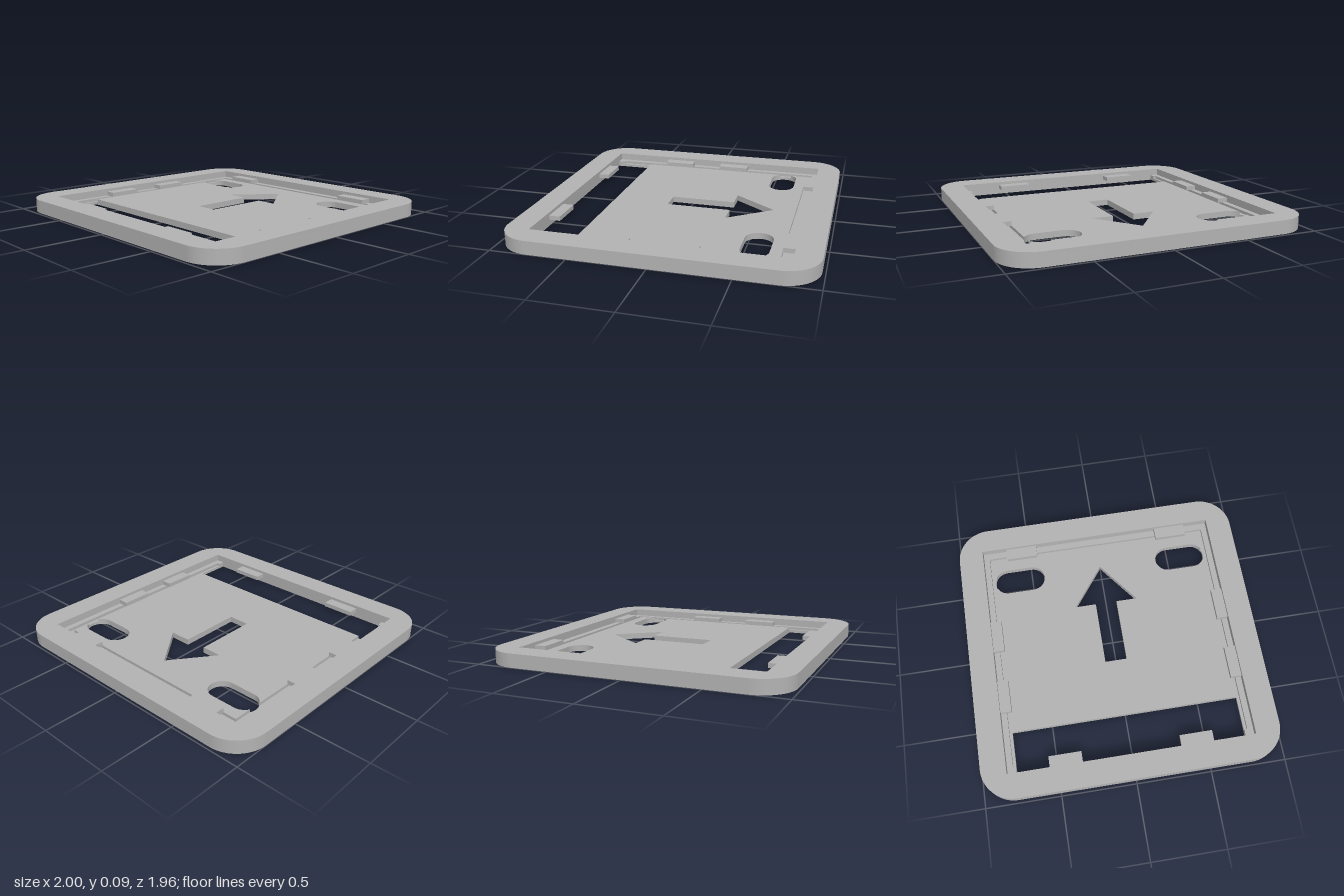
import * as THREE from 'three';
import { toCreasedNormals } from 'three/addons/utils/BufferGeometryUtils.js';

const grey = new THREE.MeshStandardMaterial({ color: 0xb3b3b3 });
grey.name = 'grey plastic';

// Heights of the levels
const GROOVE = 0.02, FLOOR = 0.04, TOP = 0.09;

const toPoints = (list) => list.map(([x, z]) => new THREE.Vector2(x, z));
const rect = (x, z0, z1) => toPoints([[-x, z0], [x, z0], [x, z1], [-x, z1]]);

// Slab with a plan drawn in x and z, standing between two heights
function slab(name, outline, holes, y0, y1) {
  const shape = new THREE.Shape(outline);
  for (const h of holes) shape.holes.push(new THREE.Path(h));
  const geo = new THREE.ExtrudeGeometry(shape, { depth: y1 - y0, bevelEnabled: false });
  geo.rotateX(Math.PI / 2).translate(0, y1, 0);
  const mesh = new THREE.Mesh(toCreasedNormals(geo, 0.5), grey);
  mesh.name = name;
  return mesh;
}

// Rounded outer outline
function outerOutline() {
  const x = 1, z = 0.98, r = 0.22, s = new THREE.Shape();
  s.absarc(x - r, z - r, r, 0, Math.PI / 2);
  s.absarc(r - x, z - r, r, Math.PI / 2, Math.PI);
  s.absarc(r - x, r - z, r, Math.PI, Math.PI * 1.5);
  s.absarc(x - r, r - z, r, Math.PI * 1.5, Math.PI * 2);
  return s.getPoints(14);
}

// Oblong screw hole on one side, as a closed loop
const OVAL = { x0: 0.5, x1: 0.675, z: -0.57, r: 0.09 };
function ovalHole(side) {
  const p = new THREE.Path();
  p.absarc(OVAL.x1, OVAL.z, OVAL.r, -Math.PI / 2, Math.PI / 2);
  p.absarc(OVAL.x0, OVAL.z, OVAL.r, Math.PI / 2, Math.PI * 1.5);
  return p.getPoints(14).map((v) => new THREE.Vector2(v.x * side, v.y));
}

// Raised floor outline, opened on both sides where the oblong holes cut its edge
function floorOutline() {
  const x = 0.755, z0 = -0.735, z1 = 0.535;
  const a = Math.acos((x - OVAL.x1) / OVAL.r);
  const notch = new THREE.Path();
  notch.absarc(OVAL.x1, OVAL.z, OVAL.r, -a, -Math.PI / 2, true);
  notch.absarc(OVAL.x0, OVAL.z, OVAL.r, -Math.PI / 2, -Math.PI * 1.5, true);
  notch.absarc(OVAL.x1, OVAL.z, OVAL.r, Math.PI / 2, a, true);
  const right = [...toPoints([[x, z0]]), ...notch.getPoints(14), ...toPoints([[x, z1]])];
  const left = right.map((v) => new THREE.Vector2(-v.x, v.y)).reverse();
  return [...right, ...left];
}

export function createModel() {
  const model = new THREE.Group();
  model.name = 'mountingPlate';
  const outer = outerOutline();
  const arrow = toPoints([[0, -0.585], [0.22, -0.295], [0.075, -0.295], [0.075, 0.145],
    [-0.075, 0.145], [-0.075, -0.295], [-0.22, -0.295]]);

  // Base sheet with arrow, oblong holes and front slot
  model.add(slab('base', outer,
    [arrow, ovalHole(1), ovalHole(-1), rect(0.77, 0.535, 0.815)], 0, GROOVE));

  // Ledge around the groove, open at the front slot
  const ledgeHole = toPoints([[-0.79, -0.77], [0.79, -0.77], [0.79, 0.765], [0.77, 0.765],
    [0.77, 0.815], [-0.77, 0.815], [-0.77, 0.765], [-0.79, 0.765]]);
  model.add(slab('ledge', outer, [ledgeHole], GROOVE, FLOOR));

  // Floor inside the groove, and the rim above
  model.add(slab('floor', floorOutline(), [arrow], GROOVE, FLOOR));
  model.add(slab('rim', outer, [rect(0.83, -0.815, 0.815)], FLOOR, TOP));

  // Snap tabs on the four inner walls
  const tab = (name, w, d, x, z) => {
    const mesh = new THREE.Mesh(new THREE.BoxGeometry(w, 0.03, d), grey);
    mesh.position.set(x, 0.055, z);
    mesh.name = name;
    model.add(mesh);
  };
  for (const s of [-1, 1]) {
    tab('backTab', 0.22, 0.08, s * 0.55, -0.775);
    tab('frontTab', 0.22, 0.08, s * 0.44, 0.78);
    for (const z of [-0.15, 0.29]) tab('sideTab', 0.08, 0.22, s * 0.795, z);
  }
  return model;
}
